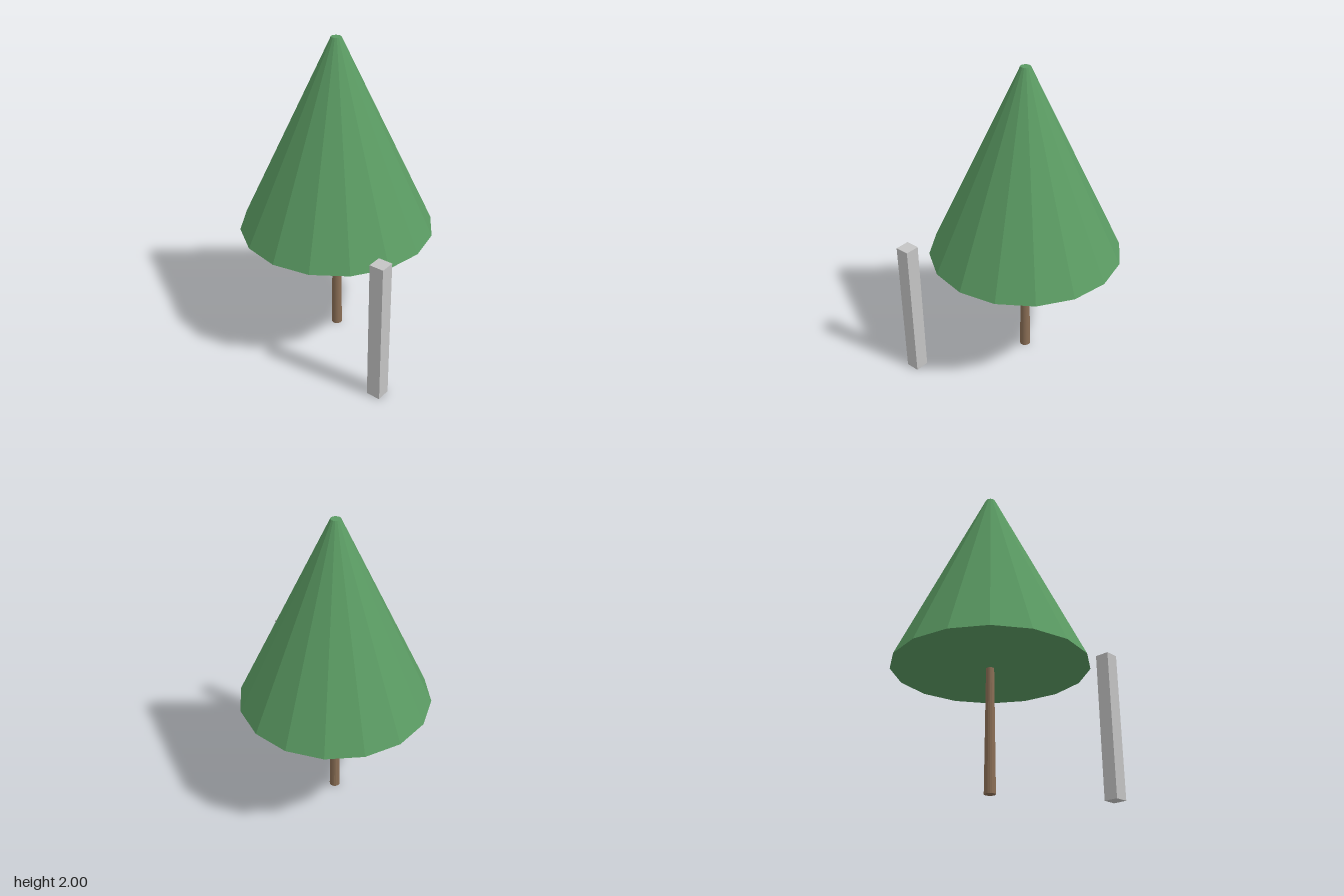
import * as THREE from 'three';

const material = (name, color, flatShading = true) => {
  const m = new THREE.MeshStandardMaterial({ color, flatShading });
  m.name = name;
  return m;
};

export function createModel() {
  const model = new THREE.Group();
  model.name = 'treeWithPost';

  const add = (name, geometry, mat, x, y, z) => {
    const mesh = new THREE.Mesh(geometry, mat);
    mesh.name = name;
    mesh.position.set(x, y, z);
    model.add(mesh);
  };

  const foliageGreen = material('foliageGreen', 0x5a9a62);
  const barkBrown = material('barkBrown', 0x8a6e55);
  const postGrey = material('postGrey', 0xc4c4c4);

  const treeX = -0.032;
  const crownBase = 0.775;

  // Tapered trunk, ending at the underside of the crown
  add('trunk', new THREE.CylinderGeometry(0.025, 0.035, crownBase, 16), barkBrown, treeX, crownBase / 2, 0);

  // Sixteen-sided crown with a small flat tip
  const crownHeight = 2 - crownBase;
  add('crown', new THREE.CylinderGeometry(0.031, 0.613, crownHeight, 16), foliageGreen, treeX, crownBase + crownHeight / 2, 0);

  // Square post standing beside the tree
  add('post', new THREE.BoxGeometry(0.09, 0.926, 0.09), postGrey, 0.597, 0.463, 0.414);

  return model;
}
